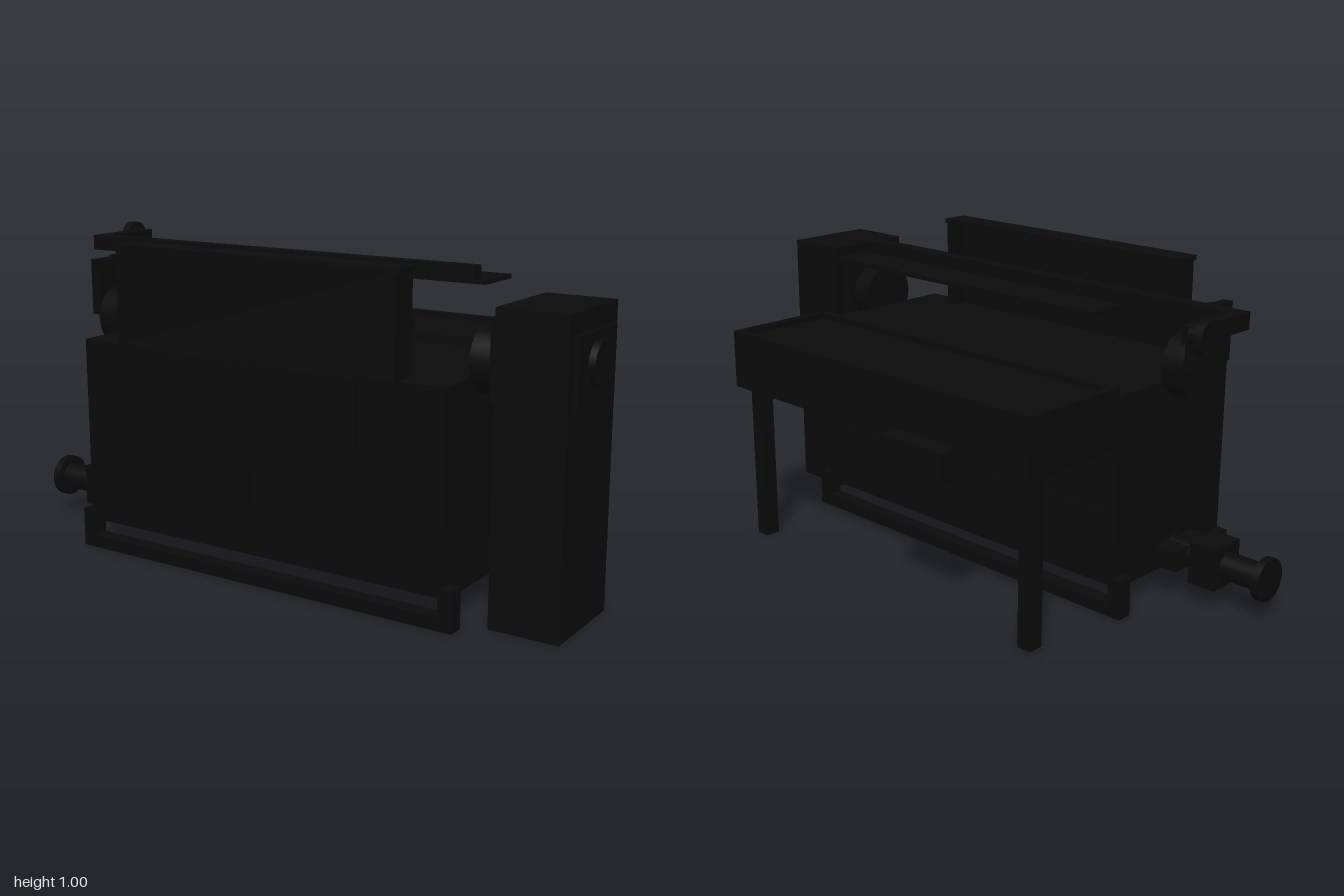
import * as THREE from 'three';

export function createModel() {
  const model = new THREE.Group();
  const black = new THREE.MeshStandardMaterial({ color: 0x0a0a0a });
  black.name = 'black';

  const add = (name, geometry) => {
    const mesh = new THREE.Mesh(geometry, black);
    mesh.name = name;
    model.add(mesh);
    return mesh;
  };
  // Box given by its extents on each axis
  const box = (name, [x0, x1], [y0, y1], [z0, z1]) =>
    add(name, new THREE.BoxGeometry(x1 - x0, y1 - y0, z1 - z0))
      .position.set((x0 + x1) / 2, (y0 + y1) / 2, (z0 + z1) / 2);
  // Cylinder lying along x
  const discX = (name, x0, x1, y, z, r) => {
    const mesh = add(name, new THREE.CylinderGeometry(r, r, x1 - x0, 32));
    mesh.rotation.z = Math.PI / 2;
    mesh.position.set((x0 + x1) / 2, y, z);
  };

  // Main cabinet and the tray underneath
  box('cabinet', [-0.65, 0.65], [0.095, 0.69], [-0.05, 0.49]);
  box('bottomTray', [-0.63, 0.63], [0.065, 0.095], [0.065, 0.4]);
  box('backRail', [-0.64, 0.64], [0.3, 0.33], [-0.056, -0.05]);

  // Front doors
  for (const s of [-1, 1]) {
    const x = [0.004 * s, 0.37 * s].sort((a, b) => a - b);
    box('frontDoor', x, [0.25, 0.685], [0.488, 0.499]);
  }

  // Raised front hood, open at the back, with a top lip
  box('hoodPlate', [-0.5, 0.5], [0.69, 0.99], [0.465, 0.5]);
  box('hoodLip', [-0.51, 0.51], [0.985, 1], [0.41, 0.5]);
  for (const s of [-1, 1])
    box('hoodSide', [s * 0.485 - 0.015, s * 0.485 + 0.015], [0.69, 0.99], [0.41, 0.48]);

  // Floor frame: two long bars with end posts
  for (const z of [-0.035, 0.47]) {
    box('floorBar', [-0.685, 0.685], [0, 0.04], [z - 0.025, z + 0.025]);
    for (const s of [-1, 1])
      box('framePost', [s * 0.662 - 0.023, s * 0.662 + 0.023], [0, 0.125], [z - 0.025, z + 0.025]);
  }

  // Rear table: shallow top in a rim, open below
  box('tableTop', [-0.63, 0.63], [0.67, 0.7], [-0.42, -0.06]);
  box('tableBackApron', [-0.65, 0.65], [0.53, 0.72], [-0.435, -0.41]);
  box('tableFrontApron', [-0.65, 0.65], [0.53, 0.72], [-0.075, -0.05]);
  for (const s of [-1, 1]) {
    box('tableSideApron', [s * 0.6375 - 0.0125, s * 0.6375 + 0.0125], [0.53, 0.72], [-0.435, -0.05]);
    box('tableLeg', [s * 0.602 - 0.024, s * 0.602 + 0.024], [0, 0.68], [-0.393, -0.343]);
  }
  box('tableLatch', [-0.375, -0.13], [0.47, 0.565], [-0.5, -0.42]);

  // Drive column with its hub and connecting neck
  box('driveColumn', [0.75, 0.965], [0, 0.905], [0.095, 0.405]);
  box('hubPlate', [0.965, 0.98], [0.63, 0.845], [0.13, 0.375]);
  discX('hubDisc', 0.98, 1, 0.755, 0.25, 0.068);
  discX('neck', 0.645, 0.72, 0.73, 0.25, 0.1);
  box('neckFlange', [0.717, 0.75], [0.635, 0.87], [0.132, 0.365]);

  // Bearing and small panel on the opposite end
  discX('endBearing', -0.72, -0.645, 0.73, 0.25, 0.1);
  box('endPanel', [-0.752, -0.72], [0.74, 0.92], [0.16, 0.345]);
  box('panelNub', [-0.745, -0.727], [0.92, 0.927], [0.235, 0.265]);

  // Outlet pipe with valve block and flange
  box('outletMount', [-0.73, -0.65], [0.1, 0.165], [0.155, 0.34]);
  discX('outletPipe', -0.98, -0.65, 0.13, 0.25, 0.044);
  box('valveBlock', [-0.85, -0.755], [0.065, 0.2], [0.185, 0.312]);
  discX('outletFlange', -1, -0.975, 0.13, 0.25, 0.068);

  // Long crank rod with arm, handle knob and the blade below it
  box('crankRod', [-0.955, 0.53], [0.915, 0.965], [0.068, 0.112]);
  box('crankArm', [-0.96, -0.915], [0.915, 0.965], [-0.14, 0.112]);
  discX('crankHandle', -0.98, -0.94, 0.94, -0.125, 0.028);
  discX('crankKnob', -1, -0.972, 0.94, -0.125, 0.05);
  box('bladePlate', [-0.56, 0.56], [0.911, 0.924], [-0.068, 0.1]);

  return model;
}
